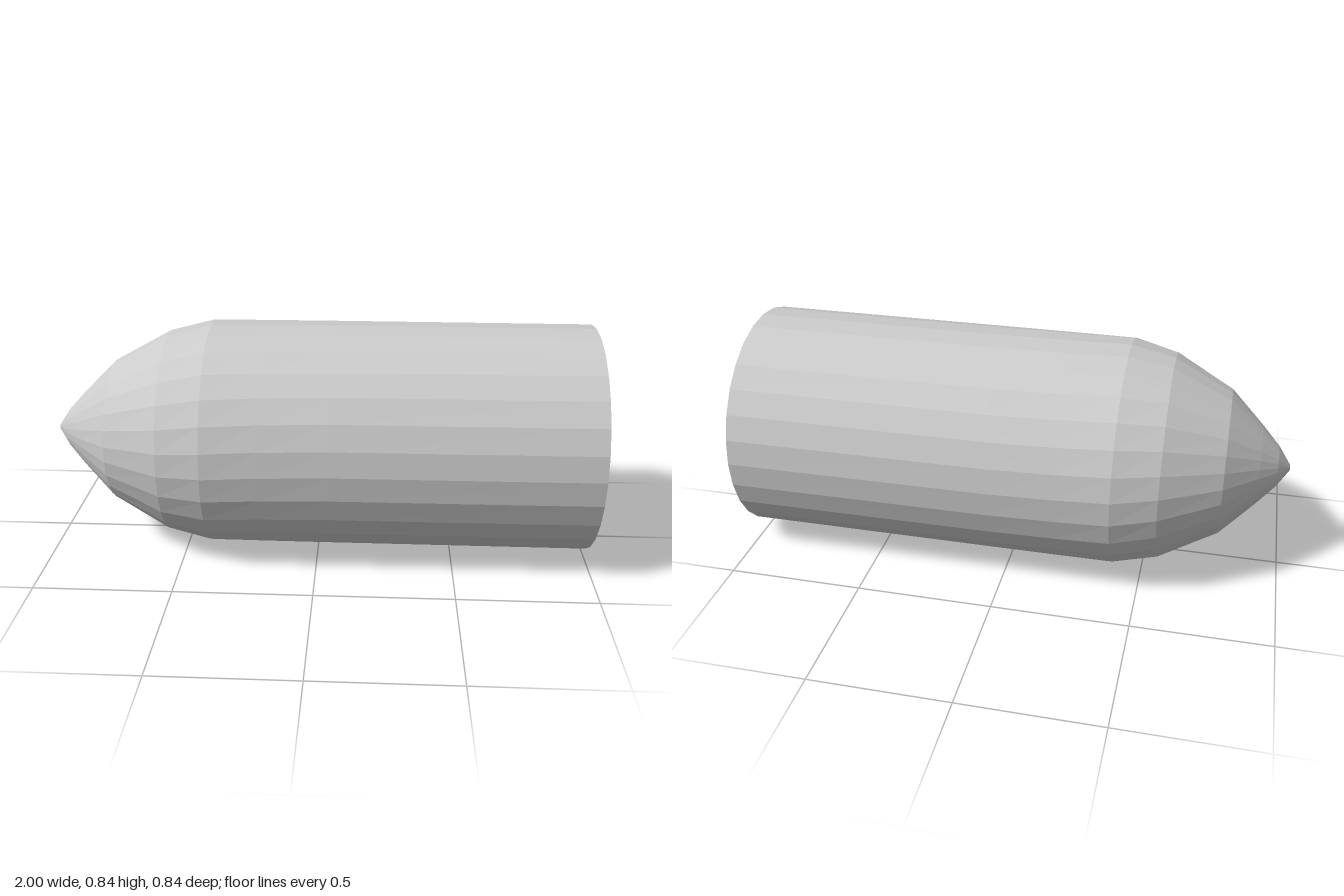
import * as THREE from 'three';

const SIDES = 28;
const RADIUS = 0.42;

// Rings from nose to open rear: x, radius, twist in degrees
const RINGS = [
  [-1, 0.01, 0], [-0.955, 0.075, 2], [-0.89, 0.145, 4], [-0.77, 0.265, 6],
  [-0.56, 0.38, 8], [-0.4, RADIUS, 10], [-0.2, RADIUS, 11.5],
  [0.05, RADIUS, 12.5], [1, RADIUS, 13],
];

// Joins the rings into a faceted, open shell
function ringShell(rings) {
  const positions = [];
  const indices = [];
  for (const [x, r, twist] of rings) {
    for (let i = 0; i < SIDES; i++) {
      const a = (i / SIDES) * Math.PI * 2 + THREE.MathUtils.degToRad(twist);
      positions.push(x, r * Math.cos(a), -r * Math.sin(a));
    }
  }
  for (let k = 0; k < rings.length - 1; k++) {
    for (let i = 0; i < SIDES; i++) {
      const j = (i + 1) % SIDES;
      const a = k * SIDES + i, b = k * SIDES + j;
      const c = a + SIDES, d = b + SIDES;
      indices.push(a, c, d, a, d, b);
    }
  }
  const geometry = new THREE.BufferGeometry();
  geometry.setAttribute('position', new THREE.Float32BufferAttribute(positions, 3));
  geometry.setIndex(indices);
  geometry.computeVertexNormals();
  return geometry;
}

export function createModel() {
  const group = new THREE.Group();
  const material = new THREE.MeshStandardMaterial({
    color: 0xcccccc, flatShading: true, side: THREE.DoubleSide,
  });

  // Pointed nose with a pinhole at its tip
  const nose = new THREE.Mesh(ringShell(RINGS.slice(0, 6)), material);
  nose.name = 'nose';

  // Straight tube, open at the rear
  const body = new THREE.Mesh(ringShell(RINGS.slice(5)), material);
  body.name = 'body';

  group.add(nose, body);
  group.position.y = RADIUS;
  group.name = 'hollowShell';
  return group;
}
